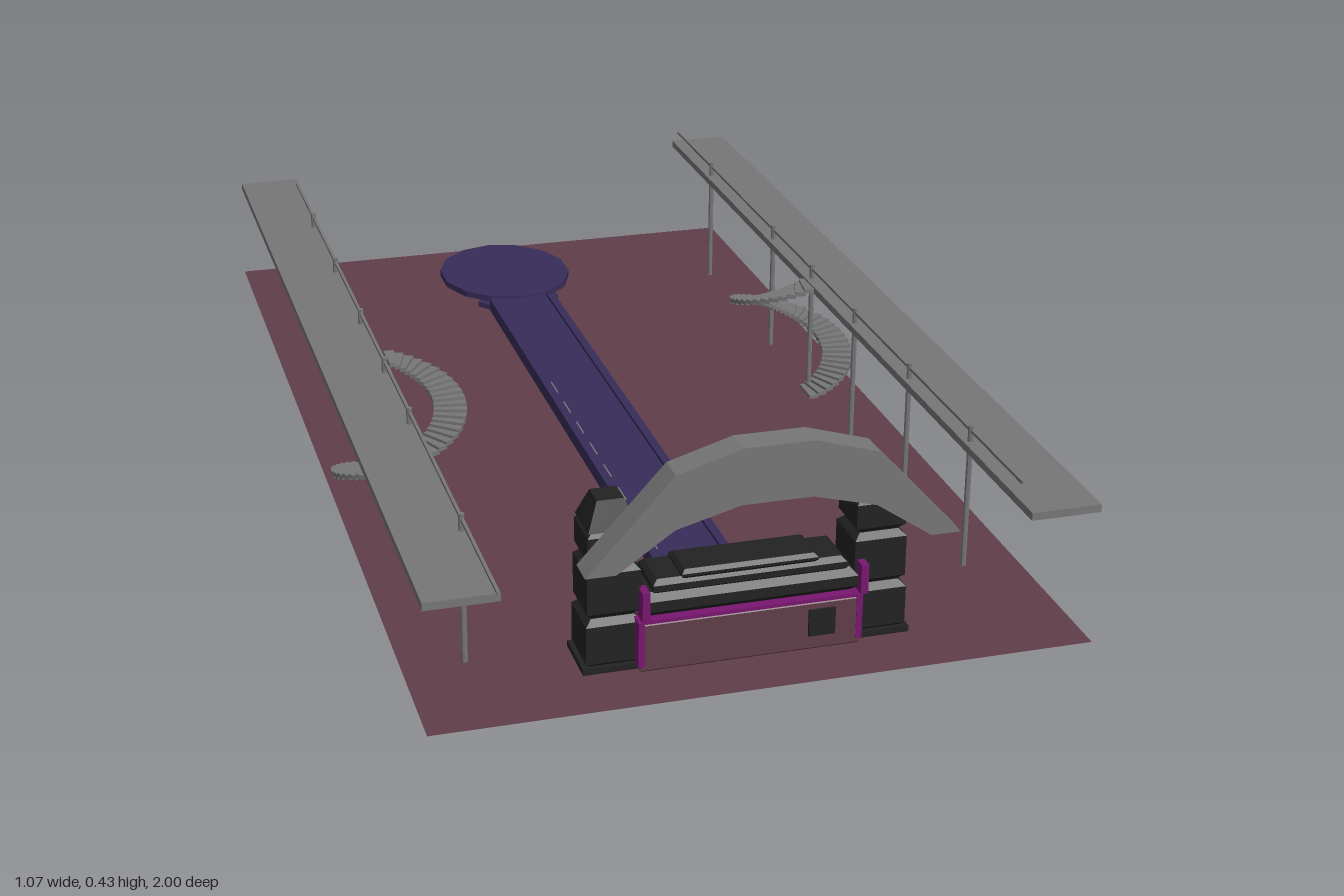
import * as THREE from 'three';

const mat = (name, color, extra = {}) => {
  const m = new THREE.MeshStandardMaterial({ color, ...extra });
  m.name = name;
  return m;
};

export function createModel() {
  const root = new THREE.Group();
  root.name = 'openAirStage';
  const maroon = mat('maroonFloor', 0x603d48, { side: THREE.DoubleSide });
  const navy = mat('navyRunway', 0x372c58, { side: THREE.DoubleSide, flatShading: true });
  const gray = mat('concreteGray', 0x767676, { flatShading: true });
  const black = mat('speakerBlack', 0x222222, { flatShading: true });
  const magenta = mat('magentaTrim', 0x7a1670);
  const pale = mat('speakerCone', 0x9c9c9c);

  const add = (name, geo, material, parent = root) => {
    const mesh = new THREE.Mesh(geo, material);
    mesh.name = name;
    parent.add(mesh);
    return mesh;
  };
  // Box given by its minimum and maximum on each axis
  const box = (name, x0, x1, y0, y1, z0, z1, material, parent) => {
    const g = new THREE.BoxGeometry(x1 - x0, y1 - y0, z1 - z0);
    g.translate((x0 + x1) / 2, (y0 + y1) / 2, (z0 + z1) / 2);
    return add(name, g, material, parent);
  };
  // Box with chamfered edges
  const slab = (name, x0, x1, y0, y1, z0, z1, b, material, parent) => {
    const s = new THREE.Shape([[x0, -z1], [x1, -z1], [x1, -z0], [x0, -z0]].map(p => new THREE.Vector2(...p)));
    const g = new THREE.ExtrudeGeometry(s, {
      depth: y1 - y0 - 2 * b, bevelSize: b, bevelThickness: b, bevelOffset: -b, bevelSegments: 1,
    });
    g.rotateX(-Math.PI / 2).translate(0, y0 + b, 0);
    return add(name, g, material, parent);
  };
  const rod = (name, x, y0, y1, z, r, material, parent) => {
    const g = new THREE.CylinderGeometry(r, r, y1 - y0, 8);
    g.translate(x, (y0 + y1) / 2, z);
    return add(name, g, material, parent);
  };

  // Ground
  const ground = add('ground', new THREE.PlaneGeometry(1.05, 1.955).rotateX(-Math.PI / 2), maroon);
  ground.position.set(-0.006, 0.02, -0.0225);

  // Raised walkways with rails, posts and spiral stairs
  const walkways = [
    { name: 'right', x: [-0.535, -0.42], z: [-0.925, 0.965], railX: -0.432, rail: [-0.84, 1],
      posts: [0.757, 0.356, 0.136, -0.094, -0.364, -0.623], stair: [-0.416, 0.16], turn: Math.PI },
    { name: 'left', x: [0.415, 0.53], z: [-0.965, 0.93], railX: 0.427, rail: [-0.96, 0.865],
      posts: [-0.72, -0.318, -0.094, 0.136, 0.398, 0.663], stair: [0.412, -0.16], turn: 0 },
  ];
  const STEPS = 44, RISE = 0.222;
  const stepShape = new THREE.Shape();
  const half = Math.PI / STEPS * 1.1;
  stepShape.absarc(0, 0, 0.119, -half, half, false);
  stepShape.absarc(0, 0, 0.062, half, -half, true);
  const stepGeo = new THREE.ExtrudeGeometry(stepShape, { depth: 0.008, bevelEnabled: false, curveSegments: 1 });
  stepGeo.rotateX(-Math.PI / 2);
  for (const w of walkways) {
    const g = new THREE.Group();
    g.name = w.name + 'Walkway';
    root.add(g);
    box('walkwayDeck', ...w.x, 0.231, 0.244, ...w.z, gray, g);
    box('handrail', w.railX - 0.002, w.railX + 0.002, 0.261, 0.266, ...w.rail, gray, g);
    for (const z of w.posts) rod('post', w.railX, 0.014, 0.272, z, 0.005, gray, g);
    const stair = new THREE.Group();
    stair.name = 'spiralStair';
    stair.position.set(w.stair[0], 0.02, w.stair[1]);
    stair.rotation.y = w.turn;
    g.add(stair);
    for (let i = 0; i < STEPS; i++) {
      const t = (i + 0.5) / STEPS;
      const step = add('stairStep', stepGeo, gray, stair);
      step.position.y = t * RISE - 0.004;
      step.rotation.y = -Math.PI / 2 + t * 2 * Math.PI;
    }
  }

  // Faceted arch over the front
  const outer = [[0.29, 0.247], [0.155, 0.395], [0.055, 0.425]];
  const inner = [[0.055, 0.335], [0.155, 0.308], [0.243, 0.247]];
  const flip = a => a.map(([x, y]) => [-x, y]).reverse();
  const archShape = new THREE.Shape([...outer, ...flip(outer), ...flip(inner), ...inner]
    .map(p => new THREE.Vector2(...p)));
  add('arch', new THREE.ExtrudeGeometry(archShape, { depth: 0.048, bevelEnabled: false }), gray)
    .position.set(-0.006, 0, 0.915);

  // Speaker towers: stacked cabinets, a tapered cap and cones on the back
  for (const side of [-1, 1]) {
    const t = new THREE.Group();
    t.name = side < 0 ? 'rightTower' : 'leftTower';
    t.position.set(-0.006 + side * 0.213, 0, 0.8);
    root.add(t);
    box('towerFoot', -0.05, 0.05, 0.015, 0.03, -0.048, 0.048, black, t);
    for (const [y0, y1, w] of [[0.025, 0.108, 0.044], [0.108, 0.195, 0.042], [0.195, 0.255, 0.04]])
      slab('towerCabinet', -w, w, y0, y1, -w, w, 0.01, black, t);
    const cap = new THREE.CylinderGeometry(0.03, 0.055, 0.045, 4, 1).rotateY(Math.PI / 4);
    add('towerCap', cap, black, t).position.y = 0.2755;
    for (const [y, r] of [[0.068, 0.028], [0.152, 0.028]]) {
      const cone = new THREE.CylinderGeometry(r, r, 0.006, 16).rotateX(Math.PI / 2);
      add('speakerCone', cone, pale, t).position.set(0, y, -0.044);
      const hub = new THREE.CylinderGeometry(r * 0.4, r * 0.4, 0.004, 12).rotateX(Math.PI / 2);
      add('speakerHub', hub, black, t).position.set(0, y, -0.048);
    }
  }

  // Booth with magenta side trim and a small front panel
  slab('boothBody', -0.183, 0.17, 0.018, 0.104, 0.775, 0.862, 0.005, maroon);
  box('boothPanel', 0.085, 0.128, 0.045, 0.09, 0.858, 0.866, black);
  for (const x of [-0.186, 0.163]) {
    box('boothSideTrim', x, x + 0.01, 0.03, 0.105, 0.835, 0.863, magenta);
    box('deckSideTrim', x + 0.006, x + 0.018, 0.105, 0.155, 0.835, 0.863, magenta);
  }
  box('boothFrontTrim', -0.175, 0.162, 0.102, 0.108, 0.84, 0.863, magenta);

  // Mixing deck
  slab('deckBase', -0.178, 0.167, 0.106, 0.147, 0.765, 0.857, 0.012, black);
  slab('deckMiddle', -0.16, 0.15, 0.14, 0.166, 0.765, 0.85, 0.008, black);
  slab('deckTop', -0.115, 0.103, 0.162, 0.178, 0.775, 0.85, 0.006, black);
  box('deckLedge', -0.11, 0.1, 0.105, 0.113, 0.715, 0.77, black);

  // Rear platform with a raised navy rim
  box('platform', -0.15, 0.138, 0.02, 0.052, 0.69, 0.78, maroon);
  box('platformRimBack', -0.163, 0.15, 0.02, 0.046, 0.67, 0.69, navy);
  box('platformRimRight', -0.163, -0.15, 0.02, 0.046, 0.69, 0.755, navy);
  box('platformRimLeft', 0.138, 0.15, 0.02, 0.046, 0.69, 0.755, navy);

  // Runway with raised edges
  box('runway', -0.058, 0.047, 0.022, 0.04, -0.66, 0.675, navy);
  for (const x of [-0.073, 0.047]) box('runwayEdge', x, x + 0.015, 0.018, 0.046, -0.64, 0.675, navy);
  for (let i = 0; i < 9; i++)
    box('runwayMark', -0.058, -0.053, 0.039, 0.042, -0.2 + i * 0.095, -0.15 + i * 0.095, gray);

  // Round end of the runway
  const disc = add('roundStage', new THREE.CylinderGeometry(1, 1, 0.012, 14), navy);
  disc.scale.set(0.135, 1, 0.158);
  disc.position.set(-0.006, 0.039, -0.797);

  // Keel below the floor, narrowing toward the front
  const keelShape = new THREE.Shape([[-0.025, -0.66], [0.025, -0.66], [0.045, 0.62], [0.085, 0.67],
    [0.06, 0.72], [-0.06, 0.72], [-0.085, 0.67], [-0.045, 0.62]].map(p => new THREE.Vector2(...p)));
  const keel = new THREE.ExtrudeGeometry(keelShape, { depth: 0.03, bevelEnabled: false }).rotateX(-Math.PI / 2);
  const p = keel.attributes.position;
  for (let i = 0; i < p.count; i++)
    if (p.getY(i) < 0.01) p.setY(i, THREE.MathUtils.mapLinear(p.getZ(i), -0.72, 0.66, 0, 0.016));
  keel.computeVertexNormals();
  add('runwayKeel', keel, navy).position.x = -0.006;

  return root;
}
